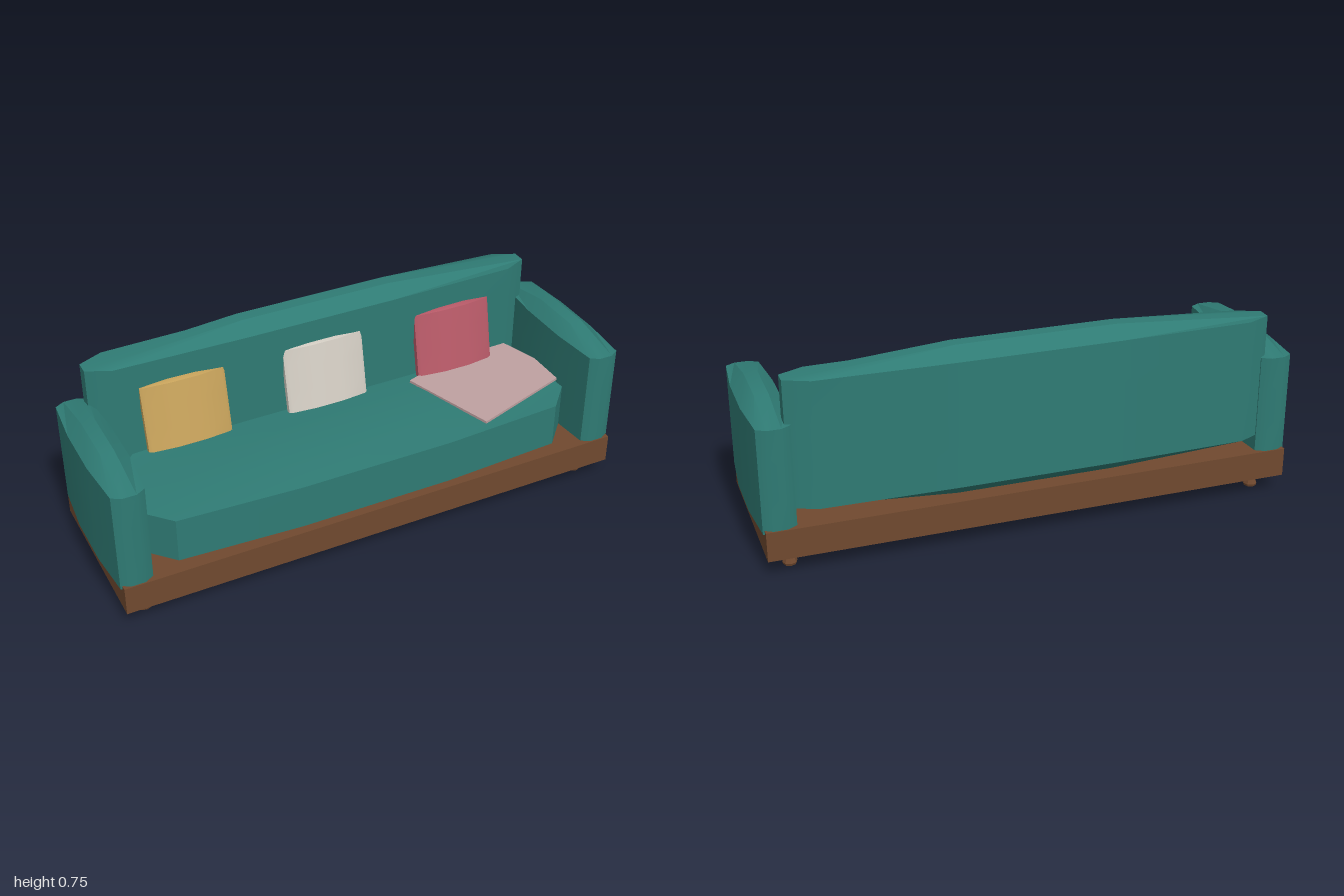
import * as THREE from 'three';
import { toCreasedNormals } from 'three/addons/utils/BufferGeometryUtils.js';

const material = (color) => new THREE.MeshStandardMaterial({ color });
const teal = material(0x2f7b74);
const wood = material(0x70492f);

// Padded block: thirds on every side, vertical corners drawn in, middle of top and bottom puffed.
function cushion(name, mat, size, corner, puff) {
  const [w, h, d] = size;
  const geo = new THREE.BoxGeometry(w, h, d, 3, 3, 3);
  const p = geo.attributes.position;
  for (let i = 0; i < p.count; i++) {
    const x = p.getX(i), y = p.getY(i), z = p.getZ(i);
    const endX = Math.abs(x) > w * 0.49;
    const endY = Math.abs(y) > h * 0.49;
    const endZ = Math.abs(z) > d * 0.49;
    if (endX && endZ) {
      p.setX(i, x - Math.sign(x) * corner[0]);
      p.setZ(i, z - Math.sign(z) * corner[1]);
    }
    if (endY && !endX && !endZ) p.setY(i, y + (y > 0 ? puff[0] : -puff[1]));
  }
  const mesh = new THREE.Mesh(toCreasedNormals(geo, 0.6), mat);
  mesh.name = name;
  return mesh;
}

export function createModel() {
  const sofa = new THREE.Group();
  sofa.name = 'sofa';
  const add = (mesh, x, y, z) => {
    mesh.position.set(x, y, z);
    sofa.add(mesh);
    return mesh;
  };

  // Wooden plinth
  const base = new THREE.Mesh(new THREE.BoxGeometry(1.956, 0.11, 0.625), wood);
  base.name = 'base';
  add(base, 0, 0.12, 0.007);

  // Turned feet
  const profile = [[0, 0], [0.024, 0], [0.027, 0.009], [0.016, 0.035], [0.029, 0.045],
    [0.029, 0.051], [0.021, 0.067], [0, 0.067]].map(([r, y]) => new THREE.Vector2(r, y));
  const footGeo = toCreasedNormals(new THREE.LatheGeometry(profile, 8), 0.4);
  for (const [side, sx] of [['left', 1], ['right', -1]]) {
    for (const [end, z] of [['Front', 0.235], ['Back', -0.22]]) {
      const foot = new THREE.Mesh(footGeo, wood);
      foot.name = side + end + 'Foot';
      add(foot, sx * 0.89, 0, z);
    }
    // Armrest
    add(cushion(side + 'Arm', teal, [0.15, 0.388, 0.615], [0.016, 0.02], [0.04, 0]),
      sx * 0.925, 0.354, 0.007);
  }

  // Seat and backrest
  add(cushion('seat', teal, [1.77, 0.18, 0.475], [0.125, 0.025], [0.015, 0]), 0, 0.257, 0.048);
  add(cushion('backrest', teal, [1.77, 0.468, 0.15], [0.09, 0.01], [0.045, 0.045]), 0, 0.471, -0.243);

  // Throw pillows leaning on the backrest
  const pillows = [['goldPillow', -0.55, 0xc9a45c], ['creamPillow', 0, 0xd3cdc3], ['rosePillow', 0.545, 0xb85a68]];
  for (const [name, x, color] of pillows) {
    const pillow = cushion(name, material(color), [0.32, 0.25, 0.06], [0.012, 0.012], [0.01, 0.01]);
    add(pillow, x, 0.484, -0.158).rotation.x = -0.2;
  }

  // Folded blanket turned on the seat
  const blanket = new THREE.Mesh(new THREE.BoxGeometry(0.46, 0.01, 0.384), material(0xbfa1a1));
  blanket.name = 'blanket';
  add(blanket, 0.618, 0.363, 0).rotation.y = 0.318;

  return sofa;
}
